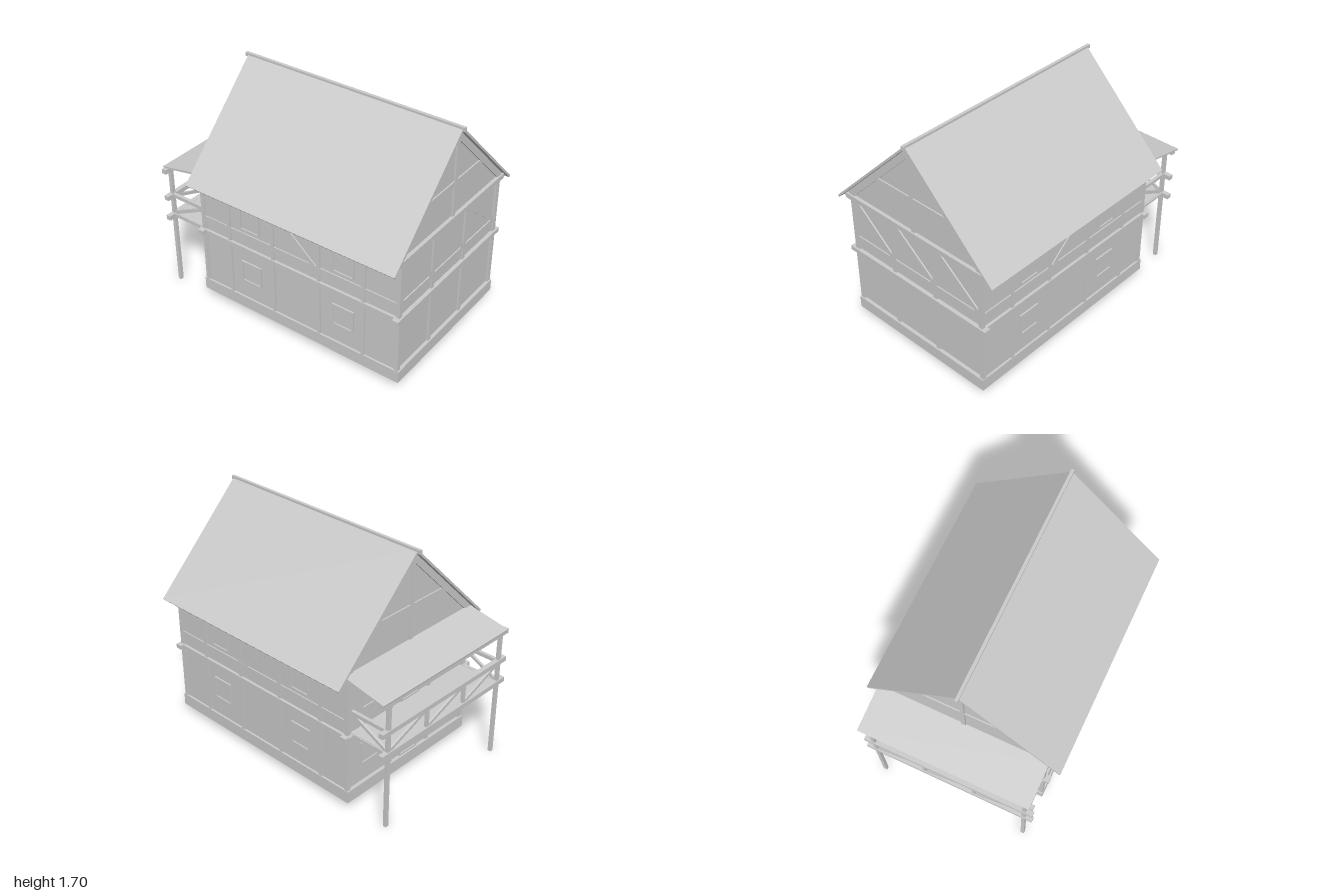
import * as THREE from 'three';

const material = new THREE.MeshStandardMaterial({ color: 0xcccccc, flatShading: true });

// Axis-aligned box given by its two extreme corners
function block(parent, name, x0, x1, y0, y1, z0, z1) {
  const mesh = new THREE.Mesh(new THREE.BoxGeometry(x1 - x0, y1 - y0, z1 - z0), material);
  mesh.position.set((x0 + x1) / 2, (y0 + y1) / 2, (z0 + z1) / 2);
  mesh.name = name;
  parent.add(mesh);
  return mesh;
}

// Sloping timber between two points
function brace(parent, name, a, b, w, h = w) {
  const from = new THREE.Vector3(...a), to = new THREE.Vector3(...b);
  const mesh = new THREE.Mesh(new THREE.BoxGeometry(w, h, from.distanceTo(to)), material);
  mesh.position.copy(from).lerp(to, 0.5);
  mesh.lookAt(to);
  mesh.name = name;
  parent.add(mesh);
}

// Prism: outline of [z, y] points extruded along x
function prism(parent, name, outline, x0, x1) {
  const shape = new THREE.Shape(outline.map(([z, y]) => new THREE.Vector2(-z, y)));
  const geometry = new THREE.ExtrudeGeometry(shape, { depth: x1 - x0, bevelEnabled: false });
  geometry.rotateY(Math.PI / 2);
  geometry.translate(x0, 0, 0);
  const mesh = new THREE.Mesh(geometry, material);
  mesh.name = name;
  parent.add(mesh);
}

// Thin frame with a pane, facing +z, centred on its origin
function opening(parent, name, w, h, x, y, z, turn) {
  const group = new THREE.Group();
  group.name = name;
  const t = 0.012, d = 0.012;
  for (const s of [-1, 1]) {
    block(group, 'frameSide', s * (w - t) / 2 - t / 2, s * (w - t) / 2 + t / 2, -h / 2, h / 2, -0.01, d);
    block(group, 'frameRail', -w / 2, w / 2, s * (h - t) / 2 - t / 2, s * (h - t) / 2 + t / 2, -0.01, d);
  }
  block(group, 'pane', -w / 2 + t, w / 2 - t, -h / 2 + t, h / 2 - t, -0.01, 0.003);
  group.position.set(x, y, z);
  group.rotation.y = turn;
  parent.add(group);
  return group;
}

function createHouse() {
  const house = new THREE.Group();
  house.name = 'house';
  block(house, 'plinth', -0.69, 0.97, 0.06, 0.15, -0.6, 0.6);
  prism(house, 'walls', [[0.585, 0.14], [0.585, 1.04], [0, 1.625], [-0.585, 1.04], [-0.585, 0.14]], -0.665, 0.945);

  // Timber frame of the long walls, the same at front and back
  for (const s of [1, -1]) {
    const bar = (name, x0, x1, y0, y1, out = 0.597) =>
      block(house, name, x0, x1, y0, y1, Math.min(s * 0.57, s * out), Math.max(s * 0.57, s * out));
    for (const x of [-0.668, -0.435, -0.057, 0.325, 0.682, 0.948]) bar('wallPost', x - 0.0125, x + 0.0125, 0.15, 1.0);
    bar('middleBeam', -0.7, 0.965, 0.56, 0.59, 0.605);
    bar('wallPlate', -0.69, 0.965, 1.0, 1.035, 0.6);
    bar('railBeam', -0.67, 0.95, 0.66, 0.7, 0.594);
    brace(house, 'wallBrace', [-0.06, 0.99, s * 0.583], [0.3, 0.68, s * 0.583], 0.02, 0.035);
    for (const x of [-0.25, 0.523]) {
      for (const y of [0.375, 0.81]) {
        opening(house, 'window', 0.17, 0.17, x, y, s * 0.585, s > 0 ? 0 : Math.PI);
      }
    }
  }

  // Timber frame of both gable ends
  for (const [s, face] of [[1, 0.945], [-1, -0.665]]) {
    const bar = (name, y0, y1, z0, z1, out = 0.013) =>
      block(house, name, Math.min(face - s * 0.02, face + s * out), Math.max(face - s * 0.02, face + s * out), y0, y1, z0, z1);
    for (const z of [-0.575, -0.175, 0.21, 0.575]) bar('gablePost', 0.15, 1.0, z - 0.015, z + 0.015);
    bar('middleCrossBeam', 0.56, 0.592, -0.63, 0.635, 0.028);
    bar('tieBeam', 1.0, 1.037, -0.63, 0.63, 0.025);
    bar('kingPost', 1.037, 1.63, -0.015, 0.015);
    bar('collarBeam', 1.265, 1.3, -0.36, 0.36, 0.01);
    for (const t of [1, -1]) {
      brace(house, 'gableRafter', [face, 1.63, 0], [face, 1.03, t * 0.6], 0.028, 0.045);
    }
    if (s > 0) {
      bar('gableRail', 0.66, 0.7, -0.57, 0.57, 0.009);
      for (const [z0, z1] of [[0.57, 0.22], [0.2, -0.17], [-0.19, -0.56]]) {
        brace(house, 'gableBrace', [face, 1.0, z0], [face, 0.7, z1], 0.02, 0.035);
      }
    }
  }
  return house;
}

function createRoof() {
  const roof = new THREE.Group();
  roof.name = 'roof';
  prism(roof, 'roofSlopes', [[0, 1.69], [0.705, 0.988], [0.695, 0.976], [0, 1.668], [-0.695, 0.976], [-0.705, 0.988]], -0.703, 0.98);
  block(roof, 'ridgeBeam', -0.725, 0.995, 1.668, 1.695, -0.011, 0.011);
  for (const x of [-0.65, -0.13, 0.405, 0.925]) {
    for (const s of [1, -1]) {
      brace(roof, 'rafter', [x, 1.654, 0], [x, 0.98, s * 0.674], 0.035, 0.03);
    }
    block(roof, 'joist', x - 0.018, x + 0.018, 0.975, 1.0, -0.62, 0.62);
  }
  return roof;
}

function createBalcony() {
  const balcony = new THREE.Group();
  balcony.name = 'balcony';
  const outer = -0.967, ends = [-0.54, 0.575];
  // Sloping lean-to roof
  brace(balcony, 'balconyRoof', [-0.995, 0.98, -0.005], [-0.67, 1.042, -0.005], 1.24, 0.012);
  block(balcony, 'balconyFloor', -0.96, -0.66, 0.578, 0.592, -0.56, 0.59);
  // Long beams: floor edge, handrail and eaves
  for (const y of [0.577, 0.743, 0.962]) block(balcony, 'longBeam', -0.985, -0.95, y - 0.017, y + 0.017, -0.61, 0.64);
  for (const z of ends) {
    block(balcony, 'balconyPost', outer - 0.012, outer + 0.012, 0, 0.97, z - 0.013, z + 0.013);
    block(balcony, 'floorBeam', -0.97, -0.66, 0.565, 0.595, z - 0.012, z + 0.012);
    block(balcony, 'endHandrail', -0.97, -0.66, 0.73, 0.757, z - 0.012, z + 0.012);
    brace(balcony, 'roofBeam', [-0.98, 0.964, z], [-0.67, 1.023, z], 0.022);
    brace(balcony, 'endBrace', [-0.955, 0.595, z], [-0.68, 0.73, z], 0.018, 0.022);
  }
  // Railing bays, each with a diagonal
  const bay = (ends[1] - ends[0]) / 3;
  for (let i = 0; i < 3; i++) {
    const z = ends[0] + i * bay;
    if (i) block(balcony, 'railingPost', outer - 0.01, outer + 0.01, 0.59, 0.73, z - 0.012, z + 0.012);
    brace(balcony, 'railingBrace', [outer, 0.595, z + 0.01], [outer, 0.73, z + bay - 0.01], 0.016, 0.022);
  }
  // Doors with round handles and windows on both floors
  for (const [low, mid] of [[0.15, 0.375], [0.595, 0.81]]) {
    const height = mid + 0.085 - low;
    opening(balcony, 'door', 0.18, height, -0.665, low + height / 2, 0.015, -Math.PI / 2);
    const knob = new THREE.Mesh(new THREE.SphereGeometry(0.012, 10, 8), material);
    knob.name = 'doorHandle';
    knob.position.set(-0.678, low + 0.17, 0.075);
    balcony.add(knob);
    for (const z of [-0.375, 0.39]) opening(balcony, 'window', 0.17, 0.17, -0.665, mid, z, -Math.PI / 2);
  }
  return balcony;
}

export function createModel() {
  const model = new THREE.Group();
  model.name = 'timberFramedHouse';
  model.add(createHouse(), createRoof(), createBalcony());
  return model;
}
